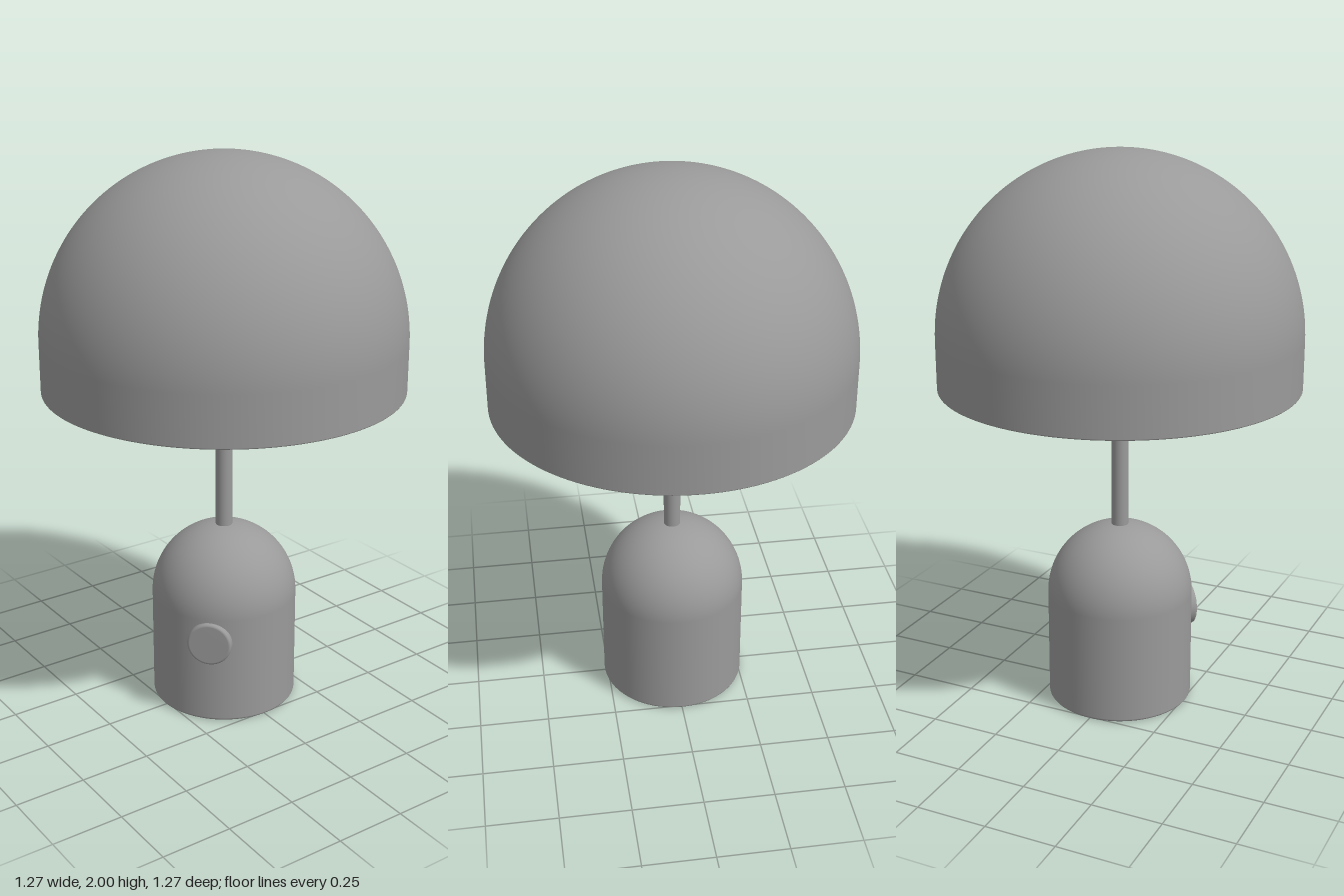
import * as THREE from 'three';

const material = new THREE.MeshStandardMaterial({ color: 0x9a9a9a });

// Points of an arc about (cx, cy), from angle a0 to a1 in degrees
function arc(cx, cy, r, a0, a1, steps) {
  return Array.from({ length: steps + 1 }, (_, i) => {
    const a = THREE.MathUtils.degToRad(a0 + ((a1 - a0) * i) / steps);
    const x = cx + r * Math.cos(a);
    return [Math.abs(x) < 1e-6 ? 0 : x, cy + r * Math.sin(a)];
  });
}

// Turned part; the profile runs from the bottom up the outside.
// A point given twice in a row makes a sharp edge.
function turned(name, profile, segments) {
  const points = profile.map(([x, y]) => new THREE.Vector2(x, y));
  const geometry = new THREE.LatheGeometry(points, segments);
  geometry.normalizeNormals();
  const mesh = new THREE.Mesh(geometry, material);
  mesh.name = name;
  return mesh;
}

// Plain sharp-edged disc or rod
function cylinder(name, radius, bottom, top, segments) {
  const geometry = new THREE.CylinderGeometry(radius, radius, top - bottom, segments);
  const mesh = new THREE.Mesh(geometry, material);
  mesh.name = name;
  mesh.position.y = (bottom + top) / 2;
  return mesh;
}

export function createModel() {
  const lamp = new THREE.Group();
  lamp.name = 'tableLamp';

  // Domed base with a softened bottom edge
  const baseR = 0.263;
  lamp.add(turned('base', [
    [0, 0],
    ...arc(baseR - 0.01, 0.01, 0.01, -90, 0, 6),
    ...arc(0, 0.665 - baseR, baseR, 0, 90, 32),
  ], 96));

  // Stem from the base up into the shade
  lamp.add(cylinder('stem', 0.03, 0.6, 1.2, 48));

  // Shade: narrow softened rim, straight skirt, hemispherical top
  const shadeR = 0.635, rimY = 1.188, soft = 0.005, rimInner = shadeR - 0.016;
  lamp.add(turned('shade', [
    [rimInner, rimY + 0.02],
    [rimInner, rimY], [rimInner, rimY],
    ...arc(shadeR - soft, rimY + soft, soft, -90, 0, 5),
    ...arc(0, 2 - shadeR, shadeR, 0, 90, 48),
  ], 128));

  // Flat diffuser just inside the rim, and the mounting plate at its centre
  lamp.add(cylinder('diffuser', rimInner + 0.002, rimY + 0.006, rimY + 0.02, 128));
  lamp.add(cylinder('mountingPlate', 0.153, 1.185, 1.2, 64));

  // Round dimmer button with a rounded edge, on the front right of the base
  const button = turned('dimmerButton', [
    [0.08, 0.23],
    ...arc(0.07, 0.267, 0.01, 0, 90, 6),
    [0, 0.277],
  ], 64);
  button.rotation.x = Math.PI / 2;
  const buttonMount = new THREE.Group();
  buttonMount.name = 'buttonMount';
  buttonMount.position.y = 0.312;
  buttonMount.rotation.y = THREE.MathUtils.degToRad(-46);
  buttonMount.add(button);
  lamp.add(buttonMount);

  return lamp;
}
